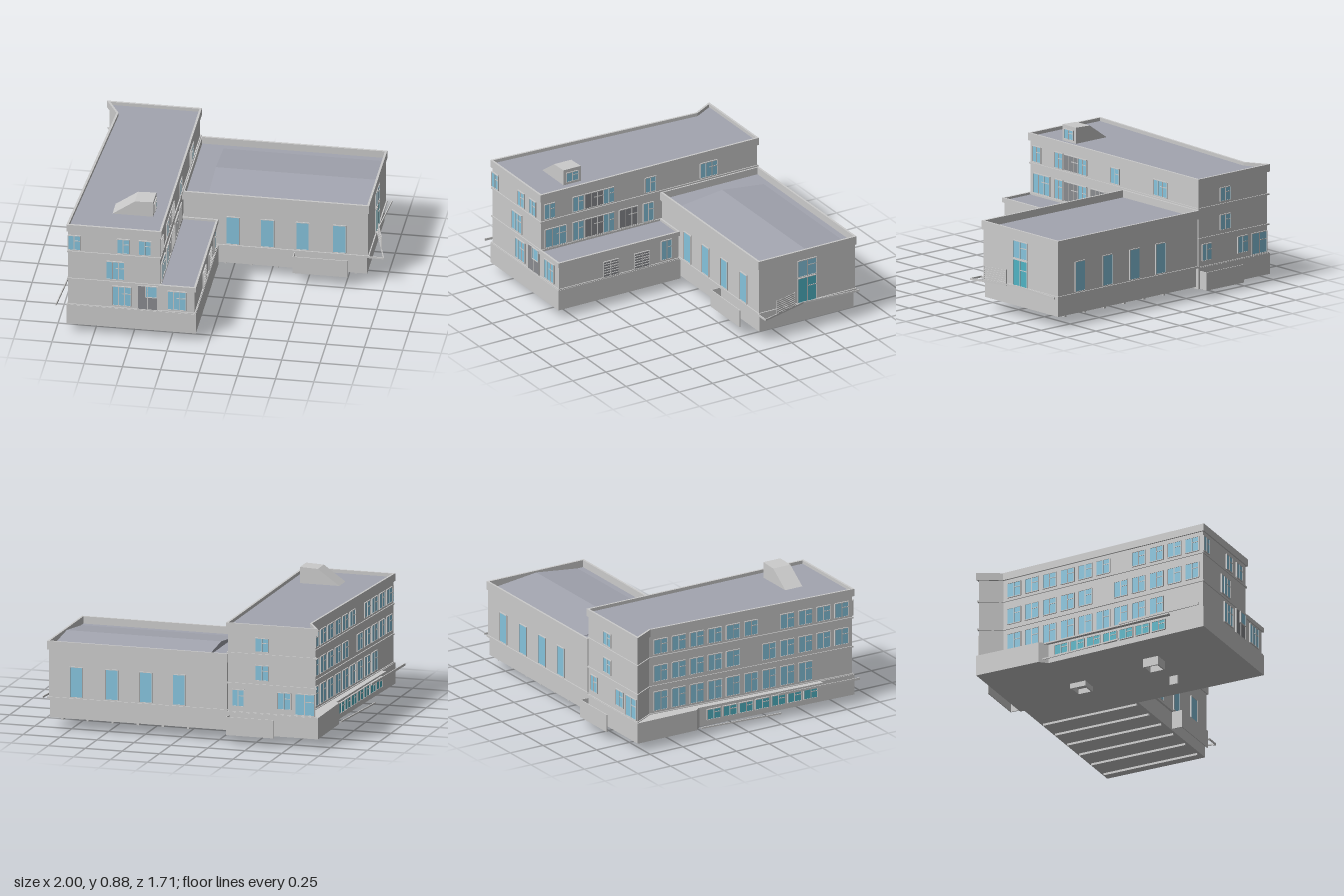
import * as THREE from 'three';

const grey = new THREE.MeshStandardMaterial({ color: 0xcccccc });
const roofGrey = new THREE.MeshStandardMaterial({ color: 0xa3a5b0 });
const panelGrey = new THREE.MeshStandardMaterial({ color: 0x8a8c90 });
const glass = new THREE.MeshStandardMaterial({ color: 0x86c4dd });
const teal = new THREE.MeshStandardMaterial({ color: 0x4fb3c4 });

// Plans as [x, z], running front-left, front-right, back-right, back-left
const rect = (x0, x1, z0, z1) => [[x0, z1], [x1, z1], [x1, z0], [x0, z0]];
const TOWER = [[-0.93, 0.85], [-0.31, 0.85], [-0.31, -0.8], [-0.93, -0.8], [-0.845, -0.65]];
const ANNEX = rect(-0.33, -0.085, -0.07, 0.85);
const HALL = rect(-0.32, 0.9, -0.8, -0.06);

function add(parent, name, geometry, material = grey) {
  const mesh = new THREE.Mesh(geometry, material);
  mesh.name = name;
  parent.add(mesh);
  return mesh;
}

function box(parent, name, x0, x1, y0, y1, z0, z1, material) {
  const mesh = add(parent, name, new THREE.BoxGeometry(x1 - x0, y1 - y0, z1 - z0), material);
  mesh.position.set((x0 + x1) / 2, (y0 + y1) / 2, (z0 + z1) / 2);
  return mesh;
}

// Moves every edge of a plan inward by d
function inset(plan, d) {
  const n = plan.length;
  return plan.map((p, i) => {
    const a = plan[(i + n - 1) % n], b = plan[(i + 1) % n];
    const u = new THREE.Vector2(p[0] - a[0], p[1] - a[1]).normalize();
    const v = new THREE.Vector2(b[0] - p[0], b[1] - p[1]).normalize();
    const k = d / (1 + u.dot(v));
    return [p[0] + (u.y + v.y) * k, p[1] - (u.x + v.x) * k];
  });
}

// Vertical prism on a plan, optionally hollowed by an inner plan
function prism(parent, name, plan, y0, y1, material, hole) {
  const points = (list) => list.map(([x, z]) => new THREE.Vector2(x, -z));
  const shape = new THREE.Shape(points(plan));
  if (hole) shape.holes.push(new THREE.Path(points(hole)));
  const geometry = new THREE.ExtrudeGeometry(shape, { depth: y1 - y0, bevelEnabled: false });
  geometry.rotateX(-Math.PI / 2);
  geometry.translate(0, y0, 0);
  return add(parent, name, geometry, material);
}

// Framed opening that faces +z before it is turned by angle
function opening(parent, name, x, z, y0, y1, w, angle, panes = 2, fill = glass) {
  const g = new THREE.Group();
  g.name = name;
  const h = y1 - y0, f = 0.005;
  box(g, 'pane', -w / 2, w / 2, -h / 2, h / 2, -0.004, 0.003, fill);
  for (let i = 0; i <= panes; i++) {
    const px = -w / 2 + (w * i) / panes;
    box(g, 'mullion', px - f / 2, px + f / 2, -h / 2, h / 2, -0.004, 0.007);
  }
  for (const s of [-1, 1]) box(g, 'rail', -w / 2, w / 2, s * h / 2 - f / 2, s * h / 2 + f / 2, -0.004, 0.007);
  if (panes > 1) box(g, 'transom', 0, w / 2, h * 0.12, h * 0.12 + f, -0.004, 0.006);
  g.position.set(x, (y0 + y1) / 2, z);
  g.rotation.y = angle;
  parent.add(g);
}

// Thin upright wall between two plan points
function screen(parent, name, [ax, az], [bx, bz], y0, y1, t = 0.006) {
  const mesh = add(parent, name, new THREE.BoxGeometry(Math.hypot(bx - ax, bz - az), y1 - y0, t));
  mesh.position.set((ax + bx) / 2, (y0 + y1) / 2, (az + bz) / 2);
  mesh.rotation.y = -Math.atan2(bz - az, bx - ax);
}

function buildTower() {
  const g = new THREE.Group();
  g.name = 'tower';
  prism(g, 'plinth', [[-0.93, 0.85], [-0.31, 0.85], [-0.31, -0.8], [-0.93, -0.8], [-0.93, -0.35], [-0.885, -0.3]], 0.06, 0.2);
  prism(g, 'walls', inset(TOWER, 0.01), 0.2, 0.76);
  for (const y of [0.2, 0.39, 0.59]) prism(g, 'floorLedge', inset(TOWER, 0.003), y - 0.005, y + 0.005);
  prism(g, 'parapet', TOWER, 0.74, 0.79, grey, inset(TOWER, 0.014));
  prism(g, 'roof', inset(TOWER, 0.012), 0.755, 0.768, roofGrey);

  // Front windows and entrance
  const front = 0.842;
  for (const x of [-0.88, -0.56, -0.418]) opening(g, 'frontWindow', x, front, 0.605, 0.71, 0.08, 0);
  opening(g, 'frontWindow', -0.61, front, 0.41, 0.54, 0.12, 0, 3);
  opening(g, 'frontWindow', -0.57, front, 0.22, 0.36, 0.12, 0, 3);
  opening(g, 'entrance', -0.4, front, 0.205, 0.38, 0.13, 0, 2, panelGrey);
  opening(g, 'entranceLight', -0.375, front + 0.004, 0.3, 0.38, 0.075, 0, 1);

  // Right side windows, [z, width, panel?]
  const rows = [
    [0.605, 0.71, [[0.775, 0.08], [0.56, 0.08], [0.44, 0.14, true], [0.33, 0.08], [0.015, 0.08], [-0.425, 0.13]]],
    [0.4, 0.53, [[0.73, 0.16], [0.56, 0.08], [0.44, 0.14, true], [0.33, 0.08], [0.18, 0.14, true], [0.03, 0.08]]],
  ];
  for (const [y0, y1, list] of rows) {
    for (const [z, w, solid] of list) {
      opening(g, solid ? 'louvrePanel' : 'sideWindow', -0.319, z, y0, y1, w, Math.PI / 2, w > 0.12 ? 3 : 2, solid ? panelGrey : glass);
    }
  }

  // Back windows
  for (const [x, y0, y1, w] of [[-0.55, 0.61, 0.7, 0.09], [-0.55, 0.42, 0.52, 0.09], [-0.39, 0.24, 0.35, 0.08], [-0.7, 0.24, 0.35, 0.09], [-0.84, 0.21, 0.35, 0.13]]) {
    opening(g, 'backWindow', x, -0.791, y0, y1, w, Math.PI);
  }

  // Long slanted side, rows of grouped windows
  const wallX = (z) => -0.836 - (0.085 * (z + 0.65)) / 1.5;
  const slant = Math.atan2(-1.5, -0.085);
  for (const [y0, y1, skip] of [[0.22, 0.35, 9], [0.42, 0.53, 5], [0.61, 0.71, 6]]) {
    for (let i = 0; i < 11; i++) {
      const z = -0.57 + i * 0.133;
      if (i < skip || skip < 9 && i > skip) opening(g, 'leftWindow', wallX(z), z, y0, y1, 0.1, slant);
    }
  }

  // Basement window strip under a thin canopy
  for (let i = 0; i < 7; i++) {
    const z = -0.2 + i * 0.12;
    opening(g, 'basementWindow', -0.892 - (z + 0.3) * 0.038, z, 0.1, 0.17, 0.1, slant, 2, teal);
  }
  prism(g, 'canopy', [[-0.95, 0.6], [-0.91, 0.6], [-0.87, -0.32], [-0.905, -0.32]], 0.19, 0.2);
  screen(g, 'lowCurb', [-0.935, -0.32], [-0.985, 0.26], 0.065, 0.075);
  screen(g, 'sideRail', [-0.96, 0.25], [-0.997, 0.85], 0.185, 0.2);

  // Wedge-shaped skylight housing
  const wedge = new THREE.Shape([[-0.67, 0.765], [-0.4, 0.765], [-0.4, 0.875], [-0.52, 0.87]].map((p) => new THREE.Vector2(...p)));
  const wedgeGeo = new THREE.ExtrudeGeometry(wedge, { depth: 0.13, bevelEnabled: false });
  wedgeGeo.translate(0, 0, 0.49);
  add(g, 'skylight', wedgeGeo);
  opening(g, 'skylightWindow', -0.4, 0.555, 0.785, 0.85, 0.09, Math.PI / 2);

  // Pits below the floor
  prism(g, 'pit', rect(-0.66, -0.56, 0.27, 0.38), 0, 0.06, grey, rect(-0.65, -0.57, 0.28, 0.37));
  prism(g, 'pit', rect(-0.54, -0.43, -0.32, -0.21), 0.025, 0.06, grey, rect(-0.53, -0.44, -0.31, -0.22));
  box(g, 'drain', -0.345, -0.335, 0, 0.06, 0.3, 0.36);

  // Screen wall at the back door
  screen(g, 'backScreen', [-0.65, -0.857], [-0.327, -0.857], 0.06, 0.18);
  screen(g, 'backScreenEnd', [-0.33, -0.857], [-0.33, -0.8], 0.06, 0.18);
  return g;
}

function buildAnnex() {
  const g = new THREE.Group();
  g.name = 'annex';
  prism(g, 'plinth', ANNEX, 0.06, 0.2);
  prism(g, 'walls', inset(ANNEX, 0.01), 0.2, 0.37);
  prism(g, 'plinthLedge', inset(ANNEX, 0.003), 0.195, 0.207);
  prism(g, 'parapet', ANNEX, 0.365, 0.395, grey, inset(ANNEX, 0.014));
  prism(g, 'roof', inset(ANNEX, 0.012), 0.365, 0.38, roofGrey);
  opening(g, 'frontWindow', -0.21, 0.842, 0.22, 0.355, 0.12, 0, 3);
  for (const z of [0.45, 0.215]) {
    opening(g, 'louvre', -0.094, z, 0.207, 0.315, 0.115, Math.PI / 2, 2, panelGrey);
    for (let i = 1; i < 6; i++) box(g, 'slat', -0.092, -0.086, 0.207 + i * 0.018, 0.211 + i * 0.018, z - 0.055, z + 0.055);
  }
  opening(g, 'sideWindow', -0.094, 0.03, 0.22, 0.355, 0.08, Math.PI / 2);
  return g;
}

function buildHall() {
  const g = new THREE.Group();
  g.name = 'hall';
  prism(g, 'plinth', inset(HALL, 0.015), 0.075, 0.2);
  prism(g, 'walls', inset(HALL, 0.008), 0.2, 0.53);
  prism(g, 'floorLedge', HALL, 0.2, 0.213);
  prism(g, 'parapet', HALL, 0.525, 0.583, grey, inset(HALL, 0.014));
  prism(g, 'flatRoof', inset(HALL, 0.012), 0.52, 0.535, roofGrey);

  // Shallow ridged roof inside the parapet
  const gable = new THREE.Shape([[0.074, 0.53], [0.786, 0.53], [0.43, 0.572]].map((p) => new THREE.Vector2(...p)));
  const gableGeo = new THREE.ExtrudeGeometry(gable, { depth: 1.045, bevelEnabled: false });
  gableGeo.rotateY(Math.PI / 2);
  gableGeo.translate(-0.16, 0, 0);
  add(g, 'ridgedRoof', gableGeo, roofGrey);

  // Tall windows on both long sides, glazed door at the end
  for (const x of [0.01, 0.235, 0.465, 0.705]) {
    opening(g, 'tallWindow', x, -0.067, 0.22, 0.42, 0.085, 0, 1);
    opening(g, 'tallWindow', x, -0.793, 0.22, 0.42, 0.085, Math.PI, 1);
  }
  opening(g, 'endDoor', 0.893, -0.43, 0.21, 0.385, 0.14, Math.PI / 2, 2, teal);
  opening(g, 'endDoorLight', 0.893, -0.43, 0.395, 0.51, 0.14, Math.PI / 2, 2);

  // Cross beams under the floor
  for (let i = 0; i < 6; i++) box(g, 'floorBeam', -0.05 + i * 0.17, -0.035 + i * 0.17, 0.06, 0.08, -0.77, -0.09);

  // Front screen wall, end curb and ladder-like railing
  screen(g, 'frontScreen', [0.41, 0], [0.77, 0], 0.08, 0.2);
  screen(g, 'frontScreenEnd', [0.413, 0], [0.413, -0.07], 0.08, 0.2);
  screen(g, 'endCurb', [0.93, -0.8], [0.898, -0.4], 0.203, 0.215);
  screen(g, 'endCurb', [0.898, -0.4], [0.995, -0.055], 0.203, 0.215);
  screen(g, 'endCurb', [0.9, -0.055], [0.995, -0.055], 0.203, 0.215);
  for (let i = 0; i < 7; i++) screen(g, 'railing', [0.92, -0.32], [0.965, -0.16], 0.215 + i * 0.014, 0.222 + i * 0.014, 0.004);
  for (const [x, z] of [[0.92, -0.32], [0.965, -0.16]]) box(g, 'railingPost', x - 0.003, x + 0.003, 0.2, 0.31, z - 0.003, z + 0.003);
  return g;
}

export function createModel() {
  const model = new THREE.Group();
  model.name = 'building';
  model.add(buildTower(), buildAnnex(), buildHall());
  return model;
}
